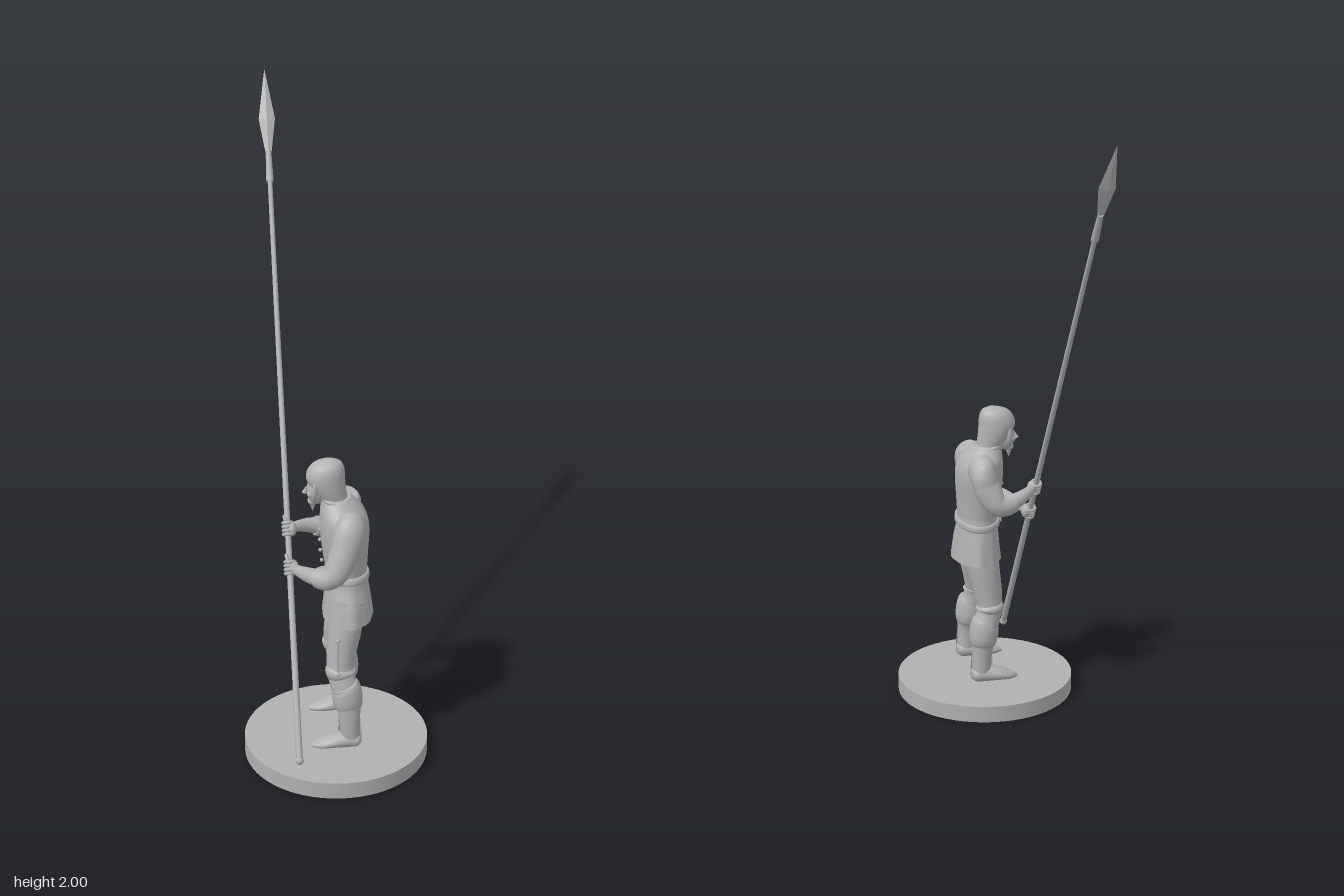
import * as THREE from 'three';

const grey = new THREE.MeshStandardMaterial({ color: 0xb0b0b0 });
grey.name = 'unpainted grey';
const V = (x, y, z) => new THREE.Vector3(x, y, z);

function mesh(parent, name, geometry, x = 0, y = 0, z = 0) {
  const m = new THREE.Mesh(geometry, grey);
  m.name = name;
  m.position.set(x, y, z);
  parent.add(m);
  return m;
}

// Smooth skin through elliptical rows [x, y, z, radius along ref, other radius].
// With upright set, every row stays level; otherwise rows follow the path.
function loft(rows, { ref = V(0, 0, 1), upright = false, sides = 28, steps = 4, ripple = null } = {}) {
  const path = new THREE.CatmullRomCurve3(rows.map(r => V(r[0], r[1], r[2])), false, 'catmullrom', 0.5);
  const size = new THREE.CatmullRomCurve3(rows.map(r => V(r[3], r[4], 0)), false, 'catmullrom', 0.5);
  const n = (rows.length - 1) * steps, pos = [], index = [];
  for (let i = 0; i <= n; i++) {
    const f = i / n, c = path.getPoint(f), s = size.getPoint(f);
    const t = upright ? V(0, 1, 0) : path.getTangent(f);
    const u = ref.clone().addScaledVector(t, -ref.dot(t)).normalize();
    const v = t.clone().cross(u);
    for (let j = 0; j < sides; j++) {
      const a = j / sides * Math.PI * 2, k = ripple ? ripple(a, f) : 1;
      const p = c.clone().addScaledVector(u, Math.cos(a) * s.x * k).addScaledVector(v, Math.sin(a) * s.y * k);
      pos.push(p.x, p.y, p.z);
    }
  }
  for (let i = 0; i < n; i++) for (let j = 0; j < sides; j++) {
    const a = i * sides + j, b = i * sides + (j + 1) % sides;
    index.push(a, b, b + sides, a, b + sides, a + sides);
  }
  // end caps with their own corners, so the rims stay crisp
  for (const end of [0, n]) {
    const base = pos.length / 3, r = rows[end ? rows.length - 1 : 0];
    pos.push(r[0], r[1], r[2]);
    for (let j = 0; j < sides; j++) for (let k = 0; k < 3; k++) pos.push(pos[(end * sides + j) * 3 + k]);
    for (let j = 0; j < sides; j++) {
      const a = base + 1 + j, b = base + 1 + (j + 1) % sides;
      index.push(base, end ? a : b, end ? b : a);
    }
  }
  const g = new THREE.BufferGeometry();
  g.setAttribute('position', new THREE.Float32BufferAttribute(pos, 3));
  g.setIndex(index);
  g.computeVertexNormals();
  return g;
}

function ball(parent, name, x, y, z, rx, ry, rz) {
  const m = mesh(parent, name, new THREE.SphereGeometry(1, 20, 14), x, y, z);
  m.scale.set(rx, ry, rz);
  return m;
}

function flat(g) {
  const f = g.toNonIndexed();
  f.computeVertexNormals();
  return f;
}

const BUTT = V(-0.128, 0.115, 0.547), TIP = V(-0.18, 2, -0.575);
const spearDir = TIP.clone().sub(BUTT).normalize();
const spearTurn = new THREE.Quaternion().setFromUnitVectors(V(0, 1, 0), spearDir);

function addSpear(root) {
  const g = new THREE.Group();
  g.name = 'spear';
  g.position.copy(BUTT);
  g.quaternion.copy(spearTurn);
  root.add(g);
  const L = TIP.distanceTo(BUTT);
  mesh(g, 'shaft', new THREE.CylinderGeometry(0.0075, 0.0105, L - 0.36, 12), 0, (L - 0.36) / 2, 0);
  mesh(g, 'buttKnob', new THREE.SphereGeometry(0.0135, 12, 8), 0, 0.008, 0);
  mesh(g, 'socket', new THREE.CylinderGeometry(0.009, 0.012, 0.1, 12), 0, L - 0.312, 0);
  // four-sided leaf blade, wide in x and thin through
  const lower = mesh(g, 'bladeBase', flat(new THREE.CylinderGeometry(0.026, 0.009, 0.115, 4)), 0, L - 0.2175, 0);
  const upper = mesh(g, 'bladePoint', flat(new THREE.CylinderGeometry(0.0005, 0.026, 0.16, 4)), 0, L - 0.08, 0);
  lower.scale.z = upper.scale.z = 0.36;
}

function addLeg(root, side, hip, knee, calf, foot) {
  const g = new THREE.Group();
  g.name = side + 'Leg';
  root.add(g);
  mesh(g, 'stocking', loft([
    [0.035, 0.56, hip - (hip - 0.26) * 0.25, 0.052, 0.06], [0.026, 0.47, hip, 0.05, 0.053],
    [0.012, 0.38, (hip + knee) / 2, 0.043, 0.046], [0.01, 0.32, knee, 0.037, 0.041],
    [0.03, 0.25, calf, 0.041, 0.044], [0.036, 0.18, foot, 0.031, 0.034], [0.04, 0.1, foot, 0.029, 0.031]]));
  // turned-down boot top
  mesh(g, 'bootCuff', loft([
    [0.02, 0.288, calf, 0.039, 0.042], [0.027, 0.272, calf, 0.045, 0.047], [0.031, 0.235, calf, 0.047, 0.048],
    [0.034, 0.21, calf, 0.041, 0.043], [0.035, 0.2, calf, 0.034, 0.036]]));
  mesh(g, 'kneeGarter', loft([[0.01, 0.345, knee, 0.036, 0.04], [0.009, 0.337, knee, 0.043, 0.047], [0.009, 0.325, knee, 0.043, 0.046], [0.011, 0.315, knee, 0.035, 0.039]], { steps: 3 }));
  mesh(g, 'bootAnkle', loft([[0.036, 0.175, foot, 0.032, 0.034], [0.038, 0.14, foot, 0.032, 0.036], [0.035, 0.1, foot, 0.034, 0.041], [0.032, 0.076, foot, 0.032, 0.04]], { upright: true }));
  // shoe from heel to pointed toe
  mesh(g, 'shoe', loft([
    [0.073, 0.098, foot, 0.016, 0.014], [0.06, 0.099, foot, 0.029, 0.024], [0.02, 0.099, foot, 0.032, 0.026],
    [-0.02, 0.095, foot, 0.036, 0.021], [-0.055, 0.087, foot + 0.002, 0.029, 0.014], [-0.083, 0.081, foot + 0.004, 0.009, 0.006]]));
}

function addArm(root, side, rows, cuffRows, grip) {
  const g = new THREE.Group();
  g.name = side + 'Arm';
  root.add(g);
  mesh(g, 'sleeve', loft(rows, { ref: V(0.3, 0.75, 0.4).normalize() }));
  mesh(g, 'forearm', loft(cuffRows, { ref: V(0, 1, 0) }));
  // hand closed around the shaft
  const hand = new THREE.Group();
  hand.name = 'hand';
  hand.position.copy(grip);
  hand.quaternion.copy(spearTurn);
  g.add(hand);
  ball(hand, 'palm', 0.012, 0, 0, 0.016, 0.025, 0.019);
  for (let i = 0; i < 4; i++) {
    const finger = mesh(hand, 'finger', new THREE.TorusGeometry(0.0145, 0.0058, 8, 16), 0, -0.018 + i * 0.012, 0);
    finger.rotation.x = Math.PI / 2;
  }
  const thumb = ball(hand, 'thumb', -0.007, 0.028, 0.009, 0.006, 0.017, 0.006);
  thumb.rotation.z = 0.3;
}

function addHead(root) {
  const g = new THREE.Group();
  g.name = 'head';
  root.add(g);
  const z = 0.235;
  mesh(g, 'hood', loft([
    [0.004, 0.855, z, 0.044, 0.042], [-0.006, 0.88, z, 0.044, 0.044], [-0.02, 0.91, z, 0.049, 0.053],
    [-0.03, 0.945, z, 0.05, 0.06], [-0.028, 0.975, z, 0.045, 0.056], [-0.022, 0.997, z, 0.031, 0.041],
    [-0.014, 1.01, z, 0.004, 0.006]], { upright: true }));
  ball(g, 'face', -0.058, 0.905, z, 0.031, 0.048, 0.034);
  const brow = mesh(g, 'hoodRim', new THREE.TorusGeometry(0.038, 0.007, 8, 28), -0.064, 0.92, z);
  brow.rotation.y = Math.PI / 2;
  brow.scale.y = 1.2;
  const nose = mesh(g, 'nose', new THREE.ConeGeometry(0.009, 0.03, 8), -0.09, 0.91, z);
  nose.rotation.z = -0.35;
  for (const s of [-1, 1]) ball(g, 'cheek', -0.077, 0.898, z + s * 0.016, 0.011, 0.013, 0.011);
  ball(g, 'chin', -0.07, 0.868, z, 0.016, 0.014, 0.017);
  const beard = mesh(g, 'beard', new THREE.ConeGeometry(0.014, 0.04, 10), -0.07, 0.85, z);
  beard.rotation.x = Math.PI;
}

export function createModel() {
  const root = new THREE.Group();
  root.name = 'spearman';

  mesh(root, 'base', new THREE.CylinderGeometry(0.293, 0.293, 0.055, 64), 0, 0.0275, 0.285);

  // padded jacket and flared skirt with soft folds
  mesh(root, 'jacket', loft([
    [0.033, 0.6, 0.252, 0.092, 0.064], [0.033, 0.64, 0.25, 0.09, 0.065], [0.03, 0.7, 0.25, 0.098, 0.071],
    [0.028, 0.78, 0.245, 0.108, 0.077], [0.023, 0.83, 0.242, 0.1, 0.071], [0.012, 0.862, 0.238, 0.068, 0.057],
    [0.003, 0.882, 0.236, 0.047, 0.046]], { upright: true, sides: 36 }));
  mesh(root, 'skirt', loft([
    [0.037, 0.488, 0.26, 0.123, 0.08], [0.036, 0.55, 0.258, 0.111, 0.073], [0.034, 0.6, 0.253, 0.097, 0.067],
    [0.033, 0.64, 0.25, 0.09, 0.065]],
    { upright: true, sides: 64, ripple: (a, f) => 1 + 0.02 * (1 - f) * Math.sin(a * 9) }));
  const belt = mesh(root, 'belt', loft([
    [0, -0.013, 0, 0.09, 0.064], [0, -0.009, 0, 0.1, 0.073], [0, 0.009, 0, 0.098, 0.072], [0, 0.013, 0, 0.088, 0.063]],
    { upright: true, steps: 3, sides: 36 }), 0.033, 0.622, 0.251);
  belt.rotation.x = -0.12;
  mesh(root, 'buckle', new THREE.BoxGeometry(0.012, 0.03, 0.026), -0.04, 0.622, 0.25);
  const collar = mesh(root, 'collar', new THREE.TorusGeometry(0.045, 0.009, 10, 32), 0.003, 0.872, 0.236);
  collar.rotation.set(Math.PI / 2, -0.25, 0);
  for (let i = 0; i < 5; i++) ball(root, 'button', -0.043 - Math.sin(i / 4 * Math.PI) * 0.006, 0.665 + i * 0.036, 0.247, 0.006, 0.006, 0.006);

  addHead(root);

  addLeg(root, 'left', 0.328, 0.36, 0.376, 0.39);
  addLeg(root, 'right', 0.192, 0.177, 0.172, 0.17);

  // laces hanging on the outer left thigh
  for (const y of [0.455, 0.34]) ball(root, 'laceKnot', 0.0, y, 0.39 + (0.455 - y) * 0.1, 0.007, 0.007, 0.008);
  mesh(root, 'lace', new THREE.CylinderGeometry(0.003, 0.003, 0.115, 8), 0, 0.397, 0.394);

  addArm(root, 'left', [
    [0.045, 0.85, 0.305, 0.03, 0.032], [0.04, 0.815, 0.333, 0.045, 0.05], [0.022, 0.75, 0.358, 0.043, 0.046],
    [-0.005, 0.69, 0.376, 0.039, 0.041], [-0.035, 0.665, 0.372, 0.035, 0.036], [-0.06, 0.662, 0.353, 0.033, 0.034]],
    [[-0.045, 0.664, 0.366, 0.028, 0.029], [-0.08, 0.657, 0.334, 0.025, 0.025], [-0.11, 0.648, 0.29, 0.019, 0.019], [-0.132, 0.638, 0.247, 0.014, 0.014]],
    V(-0.142, 0.635, 0.237));
  addArm(root, 'right', [
    [0.045, 0.85, 0.175, 0.03, 0.032], [0.04, 0.82, 0.148, 0.045, 0.05], [0.028, 0.765, 0.122, 0.041, 0.045],
    [0.005, 0.718, 0.106, 0.037, 0.039], [-0.025, 0.708, 0.104, 0.034, 0.035], [-0.055, 0.716, 0.112, 0.032, 0.032]],
    [[-0.04, 0.712, 0.107, 0.027, 0.028], [-0.075, 0.722, 0.12, 0.024, 0.024], [-0.105, 0.731, 0.14, 0.019, 0.019], [-0.134, 0.739, 0.167, 0.014, 0.014]],
    V(-0.145, 0.74, 0.175));

  addSpear(root);
  return root;
}
